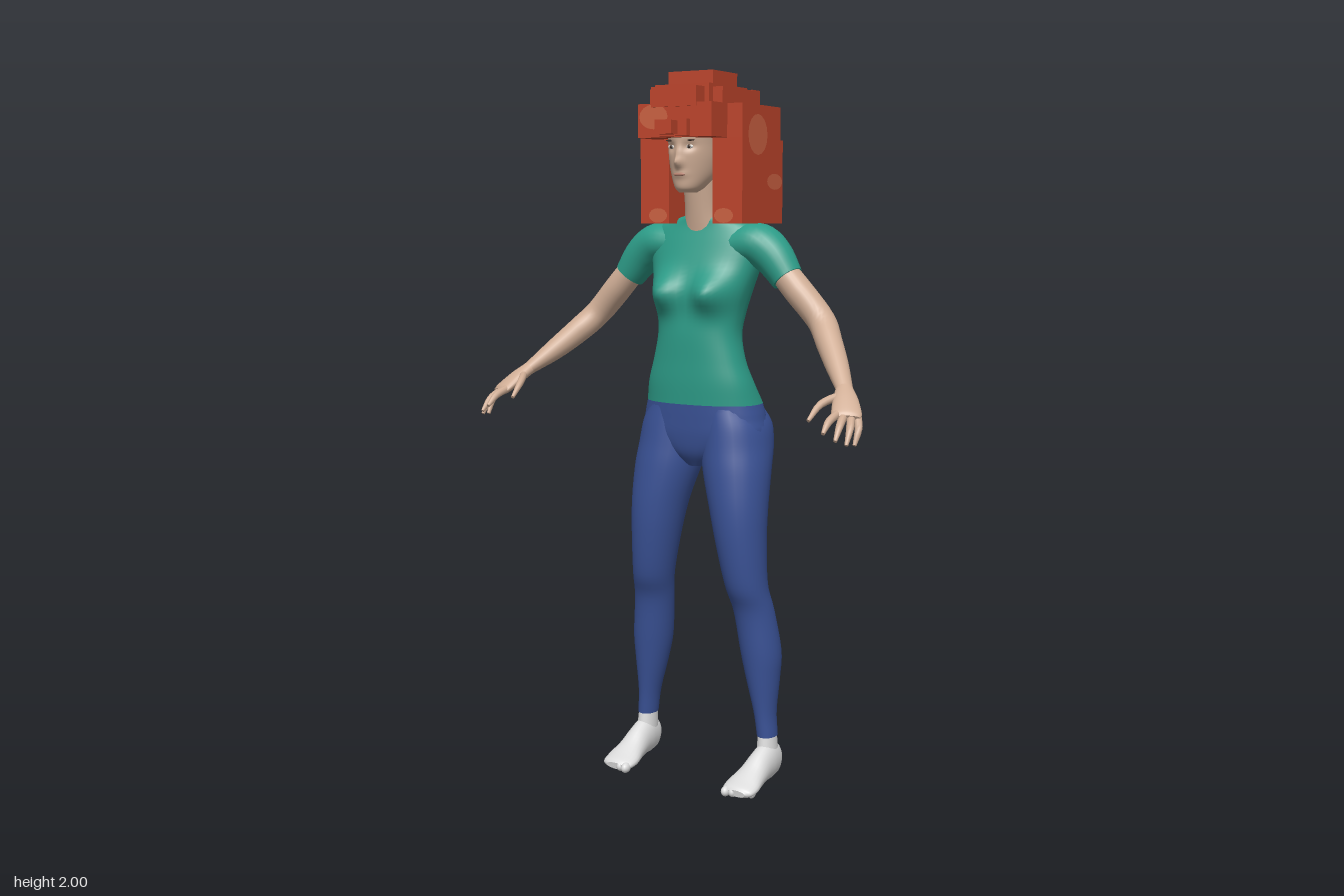
import * as THREE from 'three';

const mat = (name, color, side = THREE.FrontSide) => {
  const m = new THREE.MeshStandardMaterial({ color, side });
  m.name = name;
  return m;
};

// Smooth skin over elliptical rings [x, y, z, a, b], splined along their centres.
// level: rings stay horizontal (list them bottom to top); otherwise they face along the path.
function loft(rings, { level = false, sides = 24, steps = 5, power = 2, warp = null } = {}) {
  const path = new THREE.CatmullRomCurve3(rings.map(r => new THREE.Vector3(r[0], r[1], r[2])), false, 'catmullrom');
  const size = new THREE.CatmullRomCurve3(rings.map(r => new THREE.Vector3(r[3], r[4], 0)), false, 'catmullrom');
  const n = (rings.length - 1) * steps, pos = [], idx = [], up = new THREE.Vector3(0, 1, 0);
  const round = c => Math.sign(c) * Math.abs(c) ** (2 / power);
  for (let i = 0; i <= n; i++) {
    const c = path.getPoint(i / n), s = size.getPoint(i / n), t = path.getTangent(i / n);
    const u = level ? new THREE.Vector3(1, 0, 0) : t.clone().cross(up).normalize();
    const v = level ? new THREE.Vector3(0, 0, 1) : u.clone().cross(t).normalize();
    for (let j = 0; j < sides; j++) {
      const a = (j / sides) * Math.PI * 2;
      const p = c.clone().addScaledVector(u, s.x * round(Math.cos(a))).addScaledVector(v, s.y * round(Math.sin(a)));
      if (warp) warp(p, c);
      pos.push(p.x, p.y, p.z);
    }
  }
  for (let i = 0; i < n; i++) {
    for (let j = 0; j < sides; j++) {
      const a = i * sides + j, b = i * sides + (j + 1) % sides;
      idx.push(a, a + sides, b, b, a + sides, b + sides);
    }
  }
  // flat end caps on their own vertices
  for (const end of [0, n]) {
    const start = pos.length / 3, mid = new THREE.Vector3();
    for (let j = 0; j < sides; j++) {
      const k = (end * sides + j) * 3;
      mid.add(new THREE.Vector3(pos[k], pos[k + 1], pos[k + 2]));
      pos.push(pos[k], pos[k + 1], pos[k + 2]);
    }
    mid.divideScalar(sides);
    pos.push(mid.x, mid.y, mid.z);
    for (let j = 0; j < sides; j++) {
      const a = start + j, b = start + (j + 1) % sides;
      idx.push(start + sides, ...(end ? [b, a] : [a, b]));
    }
  }
  const g = new THREE.BufferGeometry();
  g.setAttribute('position', new THREE.Float32BufferAttribute(pos, 3));
  g.setIndex(idx);
  g.computeVertexNormals();
  return g;
}

// Horizontal ring from its extents: height, x range, back z, front z
const span = (y, x0, x1, zb, zf) => [(x0 + x1) / 2, y, (zb + zf) / 2, (x1 - x0) / 2, (zf - zb) / 2];
const bump = (x, y, w, h) => Math.exp(-((x / w) ** 2) - (y / h) ** 2);

export function createModel() {
  const root = new THREE.Group();
  const skin = mat('skin', 0xd0ae96), shirt = mat('shirt', 0x2d9c88), trousers = mat('trousers', 0x3a5296);
  const sock = mat('sock', 0xdcdcdc), hair = mat('hair', 0xbe452c);
  const hairLight = mat('hairLight', 0xcc6242, THREE.DoubleSide);
  const eyeWhite = mat('eyeWhite', 0xdedbd6), dark = mat('eyeDark', 0x46362e), lip = mat('lip', 0xb5816f);

  const add = (name, geo, m, parent = root) => {
    const mesh = new THREE.Mesh(geo, m);
    mesh.name = name;
    parent.add(mesh);
    return mesh;
  };
  const blob = (name, m, x, y, z, sx, sy, sz) => {
    const b = add(name, new THREE.SphereGeometry(1, 16, 10), m);
    b.position.set(x, y, z);
    b.scale.set(sx, sy, sz);
    return b;
  };

  // Shirt body with chest and a shallow spine groove
  add('shirtBody', loft([
    span(1.09, -0.175, 0.175, -0.17, 0.042), span(1.15, -0.16, 0.16, -0.133, 0.045),
    span(1.21, -0.14, 0.14, -0.115, 0.045), span(1.28, -0.125, 0.125, -0.118, 0.045),
    span(1.34, -0.13, 0.13, -0.133, 0.04), span(1.41, -0.147, 0.147, -0.152, 0.035),
    span(1.48, -0.167, 0.167, -0.165, 0.015), span(1.54, -0.18, 0.18, -0.168, -0.005),
    span(1.585, -0.15, 0.15, -0.155, -0.02), span(1.61, -0.065, 0.065, -0.125, -0.022),
  ], {
    level: true, sides: 48, power: 2.3, warp(p, c) {
      if (p.z > c.z) p.z += 0.048 * bump(Math.abs(p.x) - 0.075, p.y - 1.4, 0.05, 0.05);
      else p.z += 0.012 * bump(p.x, p.y - 1.36, 0.03, 0.16);
    },
  }), shirt);

  // Hips
  add('hips', loft([
    span(0.91, -0.03, 0.03, -0.09, 0.0), span(0.95, -0.11, 0.11, -0.13, 0.025),
    span(1.0, -0.188, 0.188, -0.165, 0.036), span(1.05, -0.185, 0.185, -0.172, 0.04),
    span(1.09, -0.175, 0.175, -0.17, 0.042),
  ], { level: true, sides: 40, power: 2.3 }), trousers);

  for (const s of [1, -1]) {
    const side = s > 0 ? 'left' : 'right';
    const limb = (name, rings, m, opts) =>
      add(side + name, loft(rings.map(r => [r[0] * s, ...r.slice(1)]), opts), m);

    // Trouser leg
    limb('Leg', [
      span(0.13, 0.175, 0.232, -0.112, -0.04), span(0.2, 0.165, 0.228, -0.115, -0.035),
      span(0.3, 0.14, 0.236, -0.13, -0.022), span(0.38, 0.123, 0.24, -0.136, -0.012),
      span(0.5, 0.108, 0.226, -0.116, 0.002), span(0.58, 0.094, 0.215, -0.1, 0.032),
      span(0.7, 0.069, 0.212, -0.105, 0.05), span(0.8, 0.046, 0.212, -0.12, 0.055),
      span(0.9, 0.017, 0.21, -0.152, 0.05), span(0.97, 0.004, 0.203, -0.186, 0.042),
      span(1.03, 0.003, 0.192, -0.195, 0.036), span(1.08, 0.012, 0.165, -0.172, 0.03),
    ], trousers, { level: true, sides: 28 });

    // Foot, ankle and toes
    limb('Foot', [
      [0.207, 0.042, -0.122, 0.014, 0.024], [0.207, 0.047, -0.108, 0.028, 0.046],
      [0.207, 0.056, -0.07, 0.034, 0.056], [0.206, 0.05, -0.03, 0.036, 0.049],
      [0.204, 0.035, 0.02, 0.042, 0.035], [0.202, 0.024, 0.065, 0.051, 0.024],
      [0.202, 0.018, 0.098, 0.047, 0.017], [0.202, 0.016, 0.11, 0.03, 0.01],
    ], sock, { sides: 24 });
    limb('Ankle', [
      span(0.04, 0.178, 0.236, -0.115, -0.025), span(0.085, 0.177, 0.233, -0.114, -0.034),
      span(0.14, 0.178, 0.229, -0.109, -0.043),
    ], sock, { level: true });
    [0.168, 0.188, 0.207, 0.224, 0.239].forEach((x, i) =>
      blob(side + 'Toe', sock, x * s, 0.015, 0.104 - i * 0.006, 0.013 - i * 0.001, 0.015, 0.018));

    // Sleeve
    limb('Sleeve', [
      [0.1, 1.53, -0.085, 0.07, 0.055], [0.16, 1.532, -0.083, 0.07, 0.06],
      [0.21, 1.5, -0.077, 0.057, 0.056], [0.257, 1.442, -0.071, 0.045, 0.045],
    ], shirt);

    // Arm
    limb('Arm', [
      [0.235, 1.47, -0.07, 0.038, 0.038], [0.29, 1.41, -0.07, 0.041, 0.04],
      [0.362, 1.332, -0.066, 0.039, 0.038], [0.408, 1.277, -0.023, 0.036, 0.036],
      [0.457, 1.222, 0.03, 0.031, 0.03], [0.503, 1.173, 0.085, 0.023, 0.019],
      [0.513, 1.161, 0.1, 0.023, 0.017],
    ], skin);

    // Palm, fingers and thumb
    limb('Palm', [
      [0.505, 1.171, 0.088, 0.022, 0.018], [0.525, 1.146, 0.122, 0.033, 0.018],
      [0.546, 1.116, 0.16, 0.039, 0.015], [0.553, 1.107, 0.173, 0.034, 0.009],
    ], skin);
    const fingers = [
      [[0.526, 1.116, 0.172], [0.526, 1.102, 0.222], [0.527, 1.076, 0.257]],
      [[0.541, 1.112, 0.165], [0.552, 1.092, 0.213], [0.556, 1.058, 0.247]],
      [[0.558, 1.109, 0.158], [0.572, 1.084, 0.195], [0.575, 1.046, 0.222]],
      [[0.571, 1.107, 0.147], [0.583, 1.08, 0.168], [0.582, 1.042, 0.188]],
      [[0.508, 1.157, 0.112], [0.478, 1.137, 0.17], [0.468, 1.1, 0.22]],
    ];
    fingers.forEach((f, i) => limb(i < 4 ? 'Finger' : 'Thumb',
      f.map((p, k) => [...p, [0.011, 0.01, 0.005][k], [0.011, 0.01, 0.005][k]]), skin, { sides: 10, steps: 4 }));

    // Eye
    blob(side + 'Eye', eyeWhite, 0.028 * s, 1.796, 0.067, 0.012, 0.0055, 0.004);
    blob(side + 'Iris', dark, 0.028 * s, 1.796, 0.0695, 0.005, 0.005, 0.003);
    blob(side + 'Brow', dark, 0.03 * s, 1.813, 0.069, 0.016, 0.0025, 0.004);
  }

  // Neck and head with nose, eye sockets and chin
  add('neck', loft([
    span(1.57, -0.062, 0.062, -0.118, -0.015), span(1.63, -0.052, 0.052, -0.108, -0.005),
    span(1.73, -0.052, 0.052, -0.1, 0.012),
  ], { level: true }), skin);
  add('head', loft([
    span(1.674, -0.022, 0.022, 0.0, 0.056), span(1.688, -0.038, 0.038, -0.03, 0.067),
    span(1.72, -0.056, 0.056, -0.08, 0.071), span(1.76, -0.066, 0.066, -0.11, 0.077),
    span(1.8, -0.07, 0.07, -0.125, 0.08), span(1.85, -0.072, 0.072, -0.125, 0.078),
    span(1.9, -0.058, 0.058, -0.11, 0.05), span(1.93, -0.02, 0.02, -0.07, 0.01),
  ], {
    level: true, sides: 72, steps: 8, warp(p, c) {
      if (p.z < c.z) return;
      p.z += 0.019 * bump(p.x, p.y - 1.752, 0.011, 0.014) + 0.009 * bump(p.x, p.y - 1.775, 0.008, 0.02);
      p.z += 0.005 * bump(p.x, p.y - 1.722, 0.02, 0.01);
      p.z -= 0.008 * bump(Math.abs(p.x) - 0.028, p.y - 1.796, 0.016, 0.012);
    },
  }), skin);
  blob('mouth', lip, 0, 1.722, 0.0745, 0.019, 0.005, 0.004);

  // Blocky hair: [x0, x1, y0, y1, z0, z1]; blocks off centre are mirrored
  const hairGroup = new THREE.Group();
  hairGroup.name = 'hair';
  root.add(hairGroup);
  const blocks = [
    ['crownTop', -0.07, 0.07, 1.95, 2.0, -0.12, 0.015],
    ['crownStep', -0.085, 0.085, 1.91, 1.962, -0.15, 0.06],
    ['crown', -0.115, 0.115, 1.905, 1.953, -0.17, 0.04],
    ['foreheadStep', -0.07, 0.07, 1.9, 1.953, 0.0, 0.105],
    ['cap', -0.115, 0.115, 1.82, 1.91, -0.21, 0.1],
    ['fringe', -0.05, 0.05, 1.822, 1.866, 0.09, 0.12],
    ['fringeTip', -0.022, 0.022, 1.826, 1.862, 0.11, 0.152],
    ['backLower', -0.085, 0.085, 1.59, 1.82, -0.235, -0.12],
    ['backMiddle', -0.07, 0.07, 1.592, 1.822, -0.262, -0.2],
    ['sidePanel', 0.07, 0.162, 1.59, 1.82, -0.22, 0.015],
    ['sideUpper', 0.07, 0.162, 1.82, 1.91, -0.205, 0.015],
    ['sideLock', 0.07, 0.115, 1.9, 1.955, -0.17, -0.125],
  ];
  for (const [name, x0, x1, y0, y1, z0, z1] of blocks) {
    for (const s of x0 > 0 ? [1, -1] : [1]) {
      add(name, new THREE.BoxGeometry(x1 - x0, y1 - y0, z1 - z0), hair, hairGroup)
        .position.set(s * (x0 + x1) / 2, (y0 + y1) / 2, (z0 + z1) / 2);
    }
  }

  // Lighter strands as thin patches: [x, y, z, half width, half height, turn about y]
  const patch = (x, y, z, w, h, turn) => {
    const m = add('lightStrand', new THREE.CircleGeometry(1, 16), hairLight, hairGroup);
    m.position.set(x, y, z);
    m.rotation.y = turn;
    m.scale.set(w, h, 1);
  };
  for (const s of [1, -1]) {
    patch(s * 0.1635, 1.83, -0.07, 0.055, 0.055, s * Math.PI / 2);
    patch(s * 0.1635, 1.705, -0.17, 0.045, 0.022, s * Math.PI / 2);
    patch(s * 0.105, 1.612, 0.0165, 0.03, 0.02, 0);
  }
  patch(-0.065, 1.875, 0.1015, 0.045, 0.033, 0);
  patch(0.03, 1.76, -0.2635, 0.03, 0.04, Math.PI);

  return root;
}
